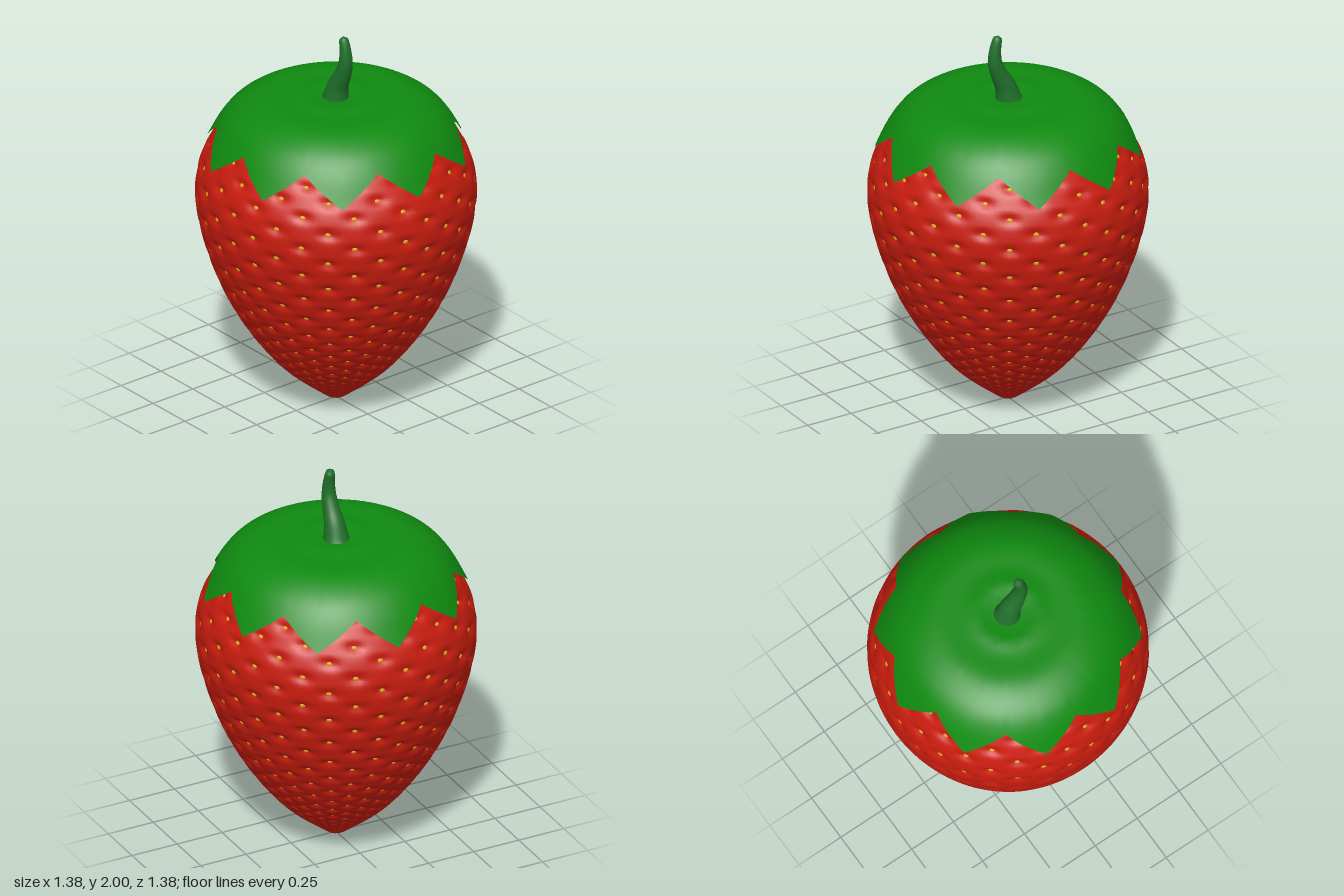
import * as THREE from 'three';
import { mergeGeometries, mergeVertices } from 'three/addons/utils/BufferGeometryUtils.js';

const SEEDS_PER_ROW = 16;
const CELL = (Math.PI * 2) / SEEDS_PER_ROW;
const SEED_TOP = 1.52;

const profile = (pts) => {
  const c = new THREE.CatmullRomCurve3(pts.map(([r, y]) => new THREE.Vector3(r, y, 0)), false, 'centripetal');
  c.arcLengthDivisions = 800;
  return c;
};

const bodyCurve = profile([
  [0, 0], [0.035, 0.008], [0.1, 0.055], [0.28, 0.21], [0.43, 0.4], [0.545, 0.6], [0.625, 0.8],
  [0.678, 1.0], [0.692, 1.15], [0.672, 1.28], [0.632, 1.37], [0.555, 1.49], [0.49, 1.55],
  [0.37, 1.61], [0.2, 1.625], [0, 1.62],
]);

const leafCurve = profile([
  [0, 1.645], [0.1, 1.65], [0.15, 1.658], [0.22, 1.647], [0.38, 1.64], [0.51, 1.575],
  [0.58, 1.495], [0.657, 1.35],
]);

const mat = (color, extra = {}) => new THREE.MeshStandardMaterial({ color, ...extra });

function named(geometry, material, name) {
  const mesh = new THREE.Mesh(geometry, material);
  mesh.name = name;
  return mesh;
}

// Weld the lathe seam so that the normals stay smooth
function weld(geometry) {
  geometry.deleteAttribute('uv');
  geometry.deleteAttribute('normal');
  const g = mergeVertices(geometry, 1e-5);
  g.computeVertexNormals();
  return g;
}

// Rows of seeds: spacing shrinks with the girth towards the tip
function seedRows() {
  const length = bodyCurve.getLength();
  const rows = [];
  let s = 0.045;
  while (true) {
    const p = bodyCurve.getPointAt(s / length);
    if (p.y > SEED_TOP) break;
    const step = Math.max(0.022, 0.118 * p.x);
    rows.push({ u: s / length, step });
    s += step;
  }
  return rows;
}

const rowShift = (k) => (k % 2 ? 0.5 : 0) + 0.13;
const dimpleDepth = (row) => row.step * 0.24;

// Fruit with a dimple around each seed
function fruitGeometry(rows) {
  const PER_ROW = 6;
  const us = [0, rows[0].u * 0.3, rows[0].u * 0.6];
  const vs = [-1, -0.7, -0.4];
  rows.forEach((row, k) => {
    const next = k + 1 < rows.length ? rows[k + 1].u : row.u + 0.03;
    for (let j = 0; j < PER_ROW; j++) {
      us.push(THREE.MathUtils.lerp(row.u, next, j / PER_ROW));
      vs.push(k + j / PER_ROW);
    }
  });
  const last = us[us.length - 1];
  for (let j = 1; j <= 14; j++) {
    us.push(THREE.MathUtils.lerp(last, 1, j / 14));
    vs.push(rows.length + j);
  }
  const pts = us.map((u) => {
    const p = bodyCurve.getPointAt(u);
    return new THREE.Vector2(Math.max(0, p.x), p.y);
  });
  const segments = SEEDS_PER_ROW * 10;
  const g = new THREE.LatheGeometry(pts, segments);
  const pos = g.attributes.position;
  for (let i = 0; i <= segments; i++) {
    const phi = (i / segments) * Math.PI * 2;
    for (let j = 0; j < pts.length; j++) {
      const k = Math.round(vs[j]);
      if (k < 0 || k >= rows.length) continue;
      const a = phi / CELL - rowShift(k);
      const da = (a - Math.round(a)) / 0.16;
      const dv = (vs[j] - k) / 0.3;
      const d = dimpleDepth(rows[k]) * Math.exp(-da * da - dv * dv);
      const t = bodyCurve.getTangentAt(us[j]);
      const r = pts[j].x - t.y * d;
      pos.setXYZ(i * pts.length + j, r * Math.sin(phi), pts[j].y + t.x * d, r * Math.cos(phi));
    }
  }
  return weld(g);
}

// One small flattened seed at the bottom of each dimple
function seedGeometry(rows) {
  const parts = [];
  const m = new THREE.Matrix4();
  rows.forEach((row, k) => {
    const p = bodyCurve.getPointAt(row.u);
    const t = bodyCurve.getTangentAt(row.u);
    const d = dimpleDepth(row) * 0.95;
    const r = p.x - t.y * d;
    const size = Math.min(row.step, p.x * 0.2);
    for (let i = 0; i < SEEDS_PER_ROW; i++) {
      const phi = (i + rowShift(k)) * CELL;
      const sn = Math.sin(phi), cs = Math.cos(phi);
      m.makeBasis(
        new THREE.Vector3(cs, 0, -sn),
        new THREE.Vector3(t.x * sn, t.y, t.x * cs),
        new THREE.Vector3(t.y * sn, -t.x, t.y * cs),
      ).setPosition(r * sn, p.y + t.x * d, r * cs);
      const seed = new THREE.SphereGeometry(1, 8, 5);
      seed.scale(size * 0.2, size * 0.16, size * 0.1);
      parts.push(seed.applyMatrix4(m));
    }
  });
  return mergeGeometries(parts);
}

// Leafy cap whose rim zigzags into ten points
function leafGeometry() {
  const LEAVES = 10, RINGS = 24, segments = LEAVES * 12;
  const pts = Array.from({ length: RINGS + 1 }, (_, j) => new THREE.Vector2(1 - j / RINGS, 0));
  const g = new THREE.LatheGeometry(pts, segments);
  const pos = g.attributes.position;
  for (let i = 0; i <= segments; i++) {
    const phi = (i / segments) * Math.PI * 2;
    const f = ((phi - Math.PI / 2) / (Math.PI * 2)) * LEAVES;
    const tip = 1 - 2 * Math.abs(f - Math.round(f));
    const end = THREE.MathUtils.lerp(0.795, 1, tip);
    for (let j = 0; j <= RINGS; j++) {
      const p = leafCurve.getPointAt(end * (1 - j / RINGS));
      pos.setXYZ(i * (RINGS + 1) + j, p.x * Math.sin(phi), p.y, p.x * Math.cos(phi));
    }
  }
  return weld(g);
}

// Tapered stem that leans and curls back at the top
function stemGeometry() {
  const path = new THREE.CatmullRomCurve3([
    [-0.005, 1.63], [0.015, 1.71], [0.05, 1.78], [0.075, 1.85], [0.073, 1.92], [0.056, 1.99],
  ].map(([x, y]) => new THREE.Vector3(x, y, 0)));
  const N = 28;
  const pts = Array.from({ length: N + 1 }, (_, j) => {
    const t = j / N;
    const base = 0.058 - 0.036 * t + 0.012 * Math.pow(1 - t, 6);
    const round = t > 0.94 ? Math.sqrt(Math.max(0, 1 - ((t - 0.94) / 0.06) ** 2)) : 1;
    return new THREE.Vector2(base * round, t);
  });
  const g = new THREE.LatheGeometry(pts, 24);
  const pos = g.attributes.position;
  for (let i = 0; i < pos.count; i++) {
    const t = Math.min(1, Math.max(0, pos.getY(i)));
    const c = path.getPointAt(t), d = path.getTangentAt(t);
    const x = pos.getX(i);
    pos.setXYZ(i, c.x + x * d.y, c.y - x * d.x + 0.01 * t, pos.getZ(i));
  }
  return weld(g);
}

export function createModel() {
  const group = new THREE.Group();
  group.name = 'strawberry';
  const rows = seedRows();
  group.add(
    named(fruitGeometry(rows), mat(0xc81c0e), 'fruit'),
    named(seedGeometry(rows), mat(0xe0a012), 'seeds'),
    named(leafGeometry(), mat(0x0f8a10, { side: THREE.DoubleSide }), 'leafCap'),
    named(stemGeometry(), mat(0x1f6e2a), 'stem'),
  );
  return group;
}
